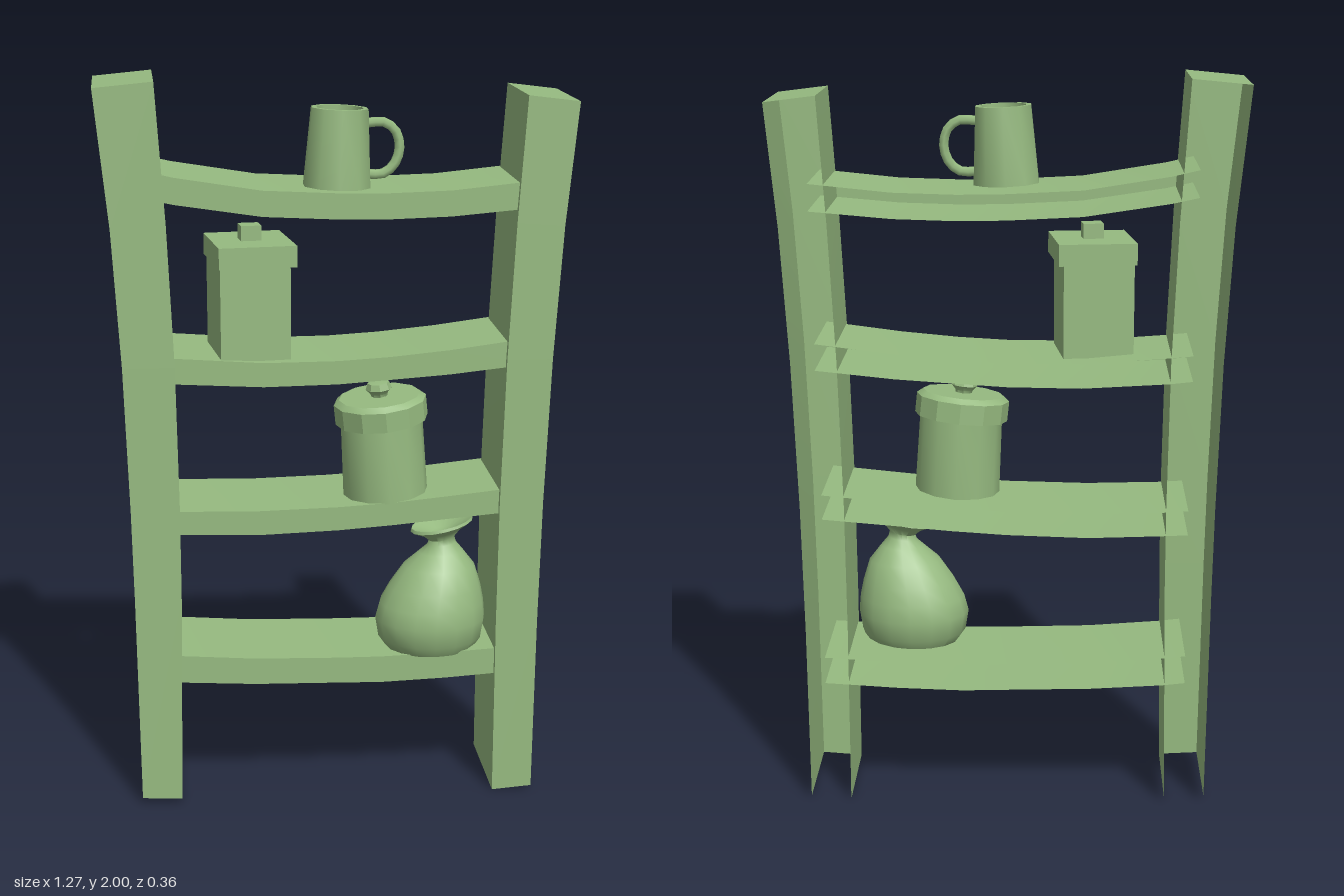
import * as THREE from 'three';
import { toCreasedNormals } from 'three/addons/utils/BufferGeometryUtils.js';

const material = new THREE.MeshStandardMaterial({ color: 0x96ba80, side: THREE.DoubleSide });

function part(name, geometry, parent, x = 0, y = 0, z = 0) {
  const mesh = new THREE.Mesh(geometry, material);
  mesh.name = name;
  mesh.position.set(x, y, z);
  parent.add(mesh);
  return mesh;
}

// Skins a list of open cross-sections, with an optional cap on the last one
function loft(rings, cap = false) {
  const pos = [];
  const quad = (a, b, c, d) => pos.push(...a, ...b, ...c, ...a, ...c, ...d);
  for (let i = 0; i < rings.length - 1; i++) {
    for (let j = 0; j < rings[i].length - 1; j++) {
      quad(rings[i][j], rings[i][j + 1], rings[i + 1][j + 1], rings[i + 1][j]);
    }
  }
  if (cap) {
    const [bl, fl, fr, br] = rings[rings.length - 1];
    quad(fl, fr, br, bl);
  }
  const g = new THREE.BufferGeometry();
  g.setAttribute('position', new THREE.Float32BufferAttribute(pos, 3));
  g.computeVertexNormals();
  return toCreasedNormals(g, 0.5);
}

// Bent post, open at the back and bottom; rows are [left x, left y, right x, right y]
function post(name, rows, parent) {
  const f = 0.15, b = -0.166;
  part(name, loft(rows.map(([xa, ya, xb, yb]) =>
    [[xa, ya, b], [xa, ya, f], [xb, yb, f], [xb, yb, b]]), true), parent);
}

// Sagging shelf, open at the back and ends; rows are [x, top y, bottom y]
function shelf(name, rows, parent) {
  const f = 0.133, b = -0.182;
  part(name, loft(rows.map(([x, t, u]) =>
    [[x, t, b], [x, t, f], [x, u, f], [x, u, b]])), parent);
}

function lathe(points, sides, crease = 0.7) {
  return toCreasedNormals(new THREE.LatheGeometry(points.map(([r, y]) => new THREE.Vector2(r, y)), sides), crease);
}

function makeMug() {
  const mug = new THREE.Group();
  mug.name = 'mug';
  part('mugBody', lathe([[0, 0], [0.092, 0], [0.078, 0.208], [0.064, 0.208], [0.06, 0.05], [0, 0.05]], 10), mug);
  const path = new THREE.CatmullRomCurve3([
    [0.075, 0.17], [0.12, 0.173], [0.152, 0.15], [0.164, 0.105], [0.15, 0.06], [0.12, 0.036], [0.08, 0.035],
  ].map(([x, y]) => new THREE.Vector3(x, y, 0)));
  part('mugHandle', new THREE.TubeGeometry(path, 12, 0.014, 6), mug);
  mug.position.set(0.005, 1.707, 0.024);
  mug.rotation.z = -0.04;
  return mug;
}

function makeBoxCanister() {
  const box = new THREE.Group();
  box.name = 'boxCanister';
  part('boxBody', new THREE.BoxGeometry(0.19, 0.26, 0.22), box, -0.005, 0.13, 0);
  part('boxLid', new THREE.BoxGeometry(0.21, 0.058, 0.25), box, 0, 0.281, 0);
  part('boxKnob', new THREE.BoxGeometry(0.055, 0.045, 0.055), box, 0, 0.328, 0);
  box.position.set(-0.227, 1.254, 0.002);
  box.rotation.y = 0.12;
  return box;
}

function makeRoundCanister() {
  const jar = new THREE.Group();
  jar.name = 'roundCanister';
  part('jarBody', lathe([[0, 0], [0.117, 0], [0.113, 0.23], [0, 0.23]], 12), jar);
  const lid = new THREE.Group();
  lid.name = 'jarLid';
  part('jarLidRim', lathe([[0, 0], [0.128, 0], [0.128, 0.055], [0.112, 0.068], [0, 0.068]], 12, 0.5), lid);
  part('jarKnob', lathe([[0.022, 0.06], [0.024, 0.075], [0.036, 0.088], [0.03, 0.106], [0, 0.11]], 8), lid);
  lid.position.y = 0.212;
  lid.rotation.set(0.05, 0, 0.05);
  jar.add(lid);
  jar.position.set(0.142, 0.85, 0.02);
  jar.rotation.z = 0.055;
  return jar;
}

// Tied sack: a lathe whose upper part leans over and whose mouth is tilted
function makeSack() {
  const profile = [[0, 0], [0.125, 0], [0.146, 0.03], [0.155, 0.085], [0.147, 0.13], [0.13, 0.175], [0.1, 0.235],
    [0.062, 0.275], [0.04, 0.298], [0.036, 0.313], [0.055, 0.333], [0.087, 0.352], [0.084, 0.36], [0.03, 0.335], [0, 0.325]];
  const g = new THREE.LatheGeometry(profile.map(([r, y]) => new THREE.Vector2(r, y)), 16);
  const p = g.attributes.position;
  for (let i = 0; i < p.count; i++) {
    const x = p.getX(i), y = p.getY(i);
    const lean = 0.03 * THREE.MathUtils.smoothstep(y, 0.08, 0.3);
    const tilt = 0.22 * THREE.MathUtils.smoothstep(y, 0.25, 0.34);
    p.setXYZ(i, x + lean, y + tilt * x, p.getZ(i) * 0.89);
  }
  const mesh = new THREE.Mesh(toCreasedNormals(g, 1.0), material);
  mesh.name = 'sack';
  mesh.position.set(0.268, 0.407, 0.04);
  return mesh;
}

export function createModel() {
  const model = new THREE.Group();
  model.name = 'shelfRack';

  post('rightPost', [[-0.55, 0.018, -0.44, 0.012], [-0.558, 0.6, -0.431, 0.6], [-0.563, 0.85, -0.431, 0.85],
    [-0.576, 1.25, -0.437, 1.25], [-0.598, 1.62, -0.453, 1.63], [-0.635, 1.985, -0.477, 2]], model);
  post('leftPost', [[0.436, 0, 0.547, 0.008], [0.437, 0.5, 0.553, 0.5], [0.441, 0.85, 0.561, 0.85],
    [0.453, 1.25, 0.577, 1.25], [0.472, 1.62, 0.6, 1.61], [0.495, 1.955, 0.632, 1.938]], model);

  shelf('bottomShelf', [[-0.49, 0.437, 0.359], [-0.43, 0.43, 0.352], [-0.23, 0.415, 0.34], [0, 0.409, 0.335],
    [0.12, 0.408, 0.332], [0.3, 0.413, 0.338], [0.5, 0.424, 0.35]], model);
  shelf('lowerShelf', [[-0.49, 0.85, 0.783], [-0.43, 0.846, 0.78], [-0.22, 0.841, 0.773], [0, 0.846, 0.78],
    [0.15, 0.854, 0.79], [0.3, 0.868, 0.803], [0.5, 0.888, 0.82]], model);
  shelf('upperShelf', [[-0.495, 1.276, 1.207], [-0.43, 1.27, 1.2], [-0.2, 1.253, 1.187], [0, 1.254, 1.19],
    [0.14, 1.262, 1.199], [0.3, 1.277, 1.21], [0.51, 1.304, 1.232]], model);
  shelf('topShelf', [[-0.503, 1.768, 1.696], [-0.43, 1.751, 1.68], [-0.2, 1.714, 1.645], [0, 1.704, 1.635],
    [0.13, 1.702, 1.633], [0.3, 1.707, 1.638], [0.52, 1.729, 1.657]], model);

  model.add(makeMug(), makeBoxCanister(), makeRoundCanister(), makeSack());
  return model;
}
